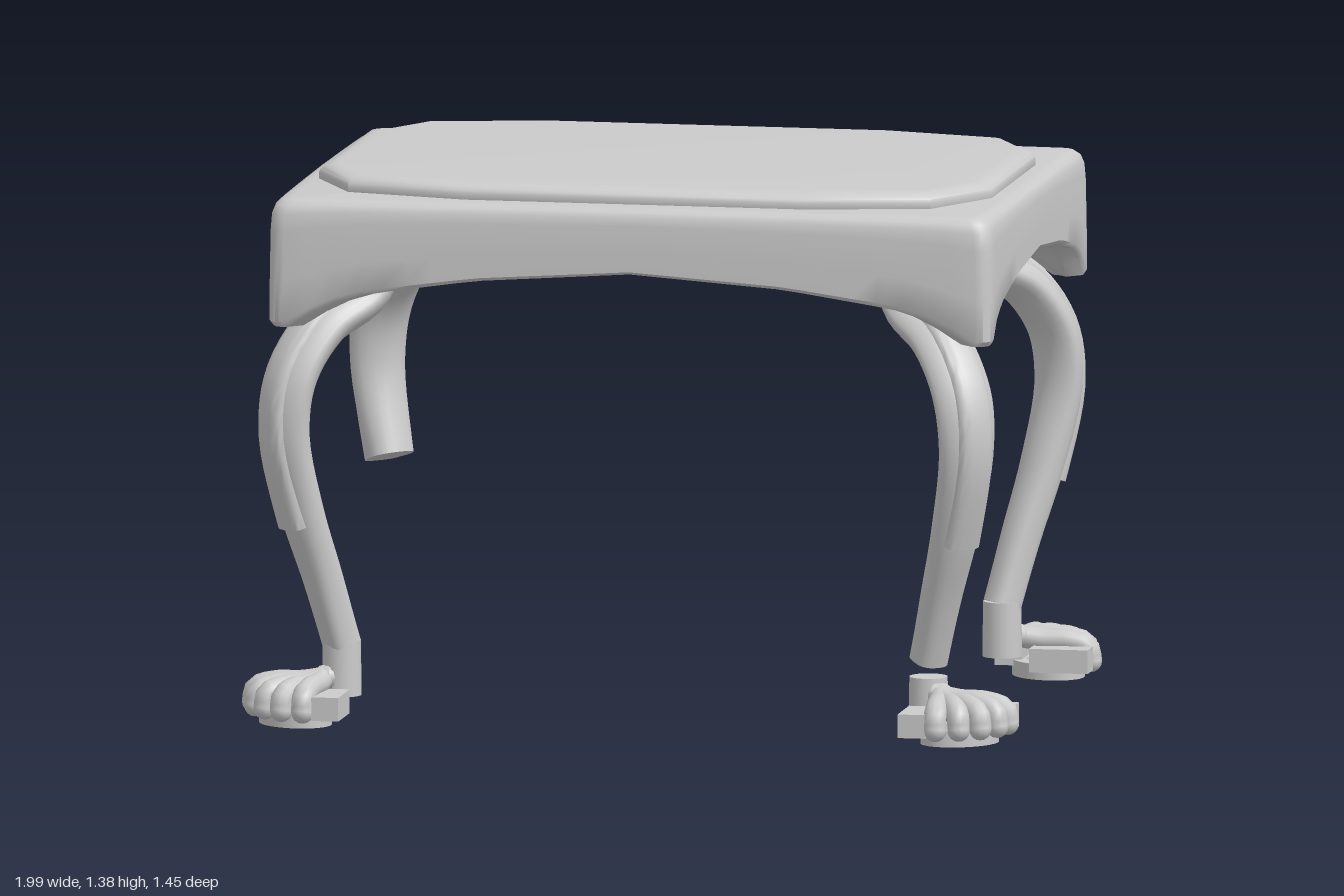
import * as THREE from 'three';
import { toCreasedNormals } from 'three/addons/utils/BufferGeometryUtils.js';

const material = new THREE.MeshStandardMaterial({ color: 0xcccccc });

function add(parent, name, geometry, x = 0, y = 0, z = 0) {
  const mesh = new THREE.Mesh(geometry, material);
  mesh.name = name;
  mesh.position.set(x, y, z);
  parent.add(mesh);
  return mesh;
}

// Skin closed rings of equal length (counterclockwise seen from the last one) and cap both ends
function loft(rings, crease) {
  const n = rings[0].length, points = rings.flat(), index = [];
  for (let i = 0; i < rings.length - 1; i++)
    for (let j = 0; j < n; j++) {
      const a = i * n + j, b = i * n + (j + 1) % n;
      index.push(a, b, b + n, a, b + n, a + n);
    }
  const last = (rings.length - 1) * n;
  for (const start of [0, last]) {
    const center = new THREE.Vector3();
    for (let j = 0; j < n; j++) center.addScaledVector(points[start + j], 1 / n);
    const c = points.push(center) - 1;
    for (let j = 0; j < n; j++) {
      const a = start + j, b = start + (j + 1) % n;
      if (start === last) index.push(c, a, b);
      else index.push(c, b, a);
    }
  }
  const geometry = new THREE.BufferGeometry().setFromPoints(points);
  geometry.setIndex(index);
  return toCreasedNormals(geometry, crease);
}

// Rounded rectangle as [x, z] pairs, counterclockwise seen from above
function outline(hx, hz, r) {
  const pts = [];
  const corners = [[1, -1], [-1, -1], [-1, 1], [1, 1]];
  corners.forEach(([sx, sz], k) => {
    const cx = sx * (hx - r), cz = sz * (hz - r);
    for (let i = 0; i <= 6; i++) {
      const a = (k + i / 6) * Math.PI / 2;
      pts.push([cx + r * Math.cos(a), cz - r * Math.sin(a)]);
    }
    const [nx, nz] = corners[(k + 1) % 4];
    const [x0, z0] = pts[pts.length - 1];
    const x1 = k % 2 ? x0 : nx * (hx - r), z1 = k % 2 ? nz * (hz - r) : z0;
    for (let i = 1; i < 28; i++)
      pts.push([x0 + (x1 - x0) * i / 28, z0 + (z1 - z0) * i / 28]);
  });
  return pts;
}

// Height of the arched lower edge: s is 0 mid side and 1 at a corner
function archHeight(s) {
  const keys = [[0, 1.17], [0.43, 1.142], [0.74, 1.1], [0.86, 1.068], [0.91, 1.035], [0.94, 1.012], [1.01, 1.01]];
  const i = Math.max(1, keys.findIndex(k => k[0] >= s));
  const [s0, y0] = keys[i - 1], [s1, y1] = keys[i];
  return y0 + (y1 - y0) * (s - s0) / (s1 - s0);
}

function buildTop(group) {
  const HX = 0.925, HZ = 0.645;
  const edge = outline(HX, HZ, 0.04)
    .map(([x, z]) => archHeight(Math.min(Math.abs(x) / HX, Math.abs(z) / HZ)));
  // [inset, blend from the arched edge to the height, height]: vault first, then the outer wall
  const profile = [[0.5, 1, 1.245], [0.3, 0.9, 1.23], [0.16, 0.5, 1.21], [0.07, 0.15, 1.18],
    [0.045, 0, 1.335], [0.008, 0, 1.335], [0, 0.04, 1.335], [0, 0.35, 1.335], [0.002, 0.75, 1.335],
    [0.005, 0.88, 1.335], [0.013, 0.95, 1.335], [0.028, 0.99, 1.335], [0.05, 1, 1.335]];
  const rings = profile.map(([inset, blend, height]) =>
    outline(HX - inset, HZ - inset, 0.04).map(([x, z], j) =>
      new THREE.Vector3(x + 0.015, THREE.MathUtils.lerp(edge[j], height, blend), z - 0.005)));
  add(group, 'apron', loft(rings, 0.7));

  // Raised panel with clipped corners
  const half = [[0.86, 0.285], [0.745, 0.495], [0.435, 0.567]];
  const upper = [...half, ...half.map(([x, y]) => [-x, y]).reverse()];
  const shape = new THREE.Shape([...upper, ...upper.map(([x, y]) => [-x, -y])]
    .map(([x, y]) => new THREE.Vector2(x, y)));
  const panel = new THREE.ExtrudeGeometry(shape, {
    depth: 0.015, bevelThickness: 0.025, bevelSize: 0.05, bevelOffset: -0.05, bevelSegments: 5,
  });
  panel.rotateX(-Math.PI / 2);
  add(group, 'raisedPanel', toCreasedNormals(panel, 0.7), 0.01, 1.335, -0.018);
}

// Centre line of the leg: local +x points outward along the diagonal
const legCurve = new THREE.CatmullRomCurve3([[0, 0.19], [0.057, 0.36], [0.122, 0.54], [0.17, 0.74],
  [0.15, 0.88], [0.06, 1.0], [-0.07, 1.075], [-0.13, 1.2]].map(([x, y]) => new THREE.Vector3(x, y, 0)));

// Leg section: power below 1 is squarish, above 1 shows a softened corner to the outside
function legRing(u, width, depth, power, shift = 0) {
  const p = legCurve.getPoint(u), t = legCurve.getTangent(u);
  const out = new THREE.Vector3(t.y, -t.x, 0);
  const soft = v => Math.sign(v) * Math.abs(v) ** power;
  return Array.from({ length: 24 }, (_, j) => {
    const a = j / 24 * Math.PI * 2;
    const v = p.clone().addScaledVector(out, shift + soft(Math.cos(a)) * depth / 2);
    v.z -= soft(Math.sin(a)) * width / 2;
    return v;
  });
}

function buildFoot(ankleTop) {
  const foot = new THREE.Group();
  foot.name = 'pawFoot';
  add(foot, 'ankle', new THREE.CylinderGeometry(0.048, 0.05, ankleTop - 0.06, 20), 0, (ankleTop + 0.06) / 2, 0);

  // Curled toes in a fan
  const path = new THREE.CatmullRomCurve3([[-0.02, 0.11], [0.05, 0.098], [0.12, 0.096], [0.168, 0.08], [0.175, 0.045]]
    .map(([x, y]) => new THREE.Vector3(x, y, 0)));
  for (let i = -2; i <= 2; i++) {
    const toe = new THREE.Group();
    toe.name = 'toe';
    toe.position.x = 0.057;
    toe.rotation.y = i * 0.34;
    add(toe, 'toeCurl', new THREE.TubeGeometry(path, 14, 0.029, 12));
    add(toe, 'toeTip', new THREE.SphereGeometry(0.029, 12, 8), 0.175, 0.045, 0);
    foot.add(toe);
  }

  // Outer claws: square bars spreading from the ankle
  for (const side of [-1, 1]) {
    const bar = new THREE.BoxGeometry(0.15, 0.06, 0.07);
    bar.translate(0.15, 0.055, 0);
    add(foot, 'outerClaw', bar).rotation.y = side * Math.PI / 4;
  }

  // Flat ring under the toes
  const sole = new THREE.Shape();
  sole.absellipse(0.14, 0, 0.085, 0.105, 0, Math.PI * 2);
  sole.holes.push(new THREE.Path().absellipse(0.14, 0, 0.05, 0.065, 0, Math.PI * 2, true));
  const ring = new THREE.ExtrudeGeometry(sole, { depth: 0.04, bevelEnabled: false, curveSegments: 16 });
  ring.rotateX(-Math.PI / 2);
  add(foot, 'sole', toCreasedNormals(ring, 0.6));
  return foot;
}

function buildLeg(sx, sz) {
  const leg = new THREE.Group();
  leg.name = `${sz > 0 ? 'front' : 'back'}${sx > 0 ? 'Left' : 'Right'}Leg`;
  leg.position.set(sx * 0.75, 0, sz * 0.48);
  leg.rotation.y = Math.atan2(-sz, sx);
  // One back leg is broken off below the knee
  const broken = sx < 0 && sz < 0;
  const shaft = [], cover = [];
  for (let i = broken ? 10 : 0; i <= 38; i++) {
    const u = i / 38, k = THREE.MathUtils.smoothstep(u, 0, 0.6);
    shaft.push(legRing(u, 0.09 + 0.08 * k, 0.09 + 0.025 * k, 0.75 + 0.45 * k));
    // Thicker outer face that ends in a step below the knee
    if (i >= 10 && u < 0.85) cover.push(legRing(u, 0.1, 0.07, 0.7, 0.028));
  }
  add(leg, 'legShaft', loft(shaft, 0.8));
  add(leg, 'kneeCover', loft(cover, 0.8));
  // The ankle of one front foot is parted from its leg
  if (!broken) leg.add(buildFoot(sx > 0 && sz > 0 ? 0.15 : 0.2));
  return leg;
}

export function createModel() {
  const table = new THREE.Group();
  table.name = 'table';
  buildTop(table);
  for (const sx of [-1, 1]) for (const sz of [-1, 1]) table.add(buildLeg(sx, sz));
  return table;
}
